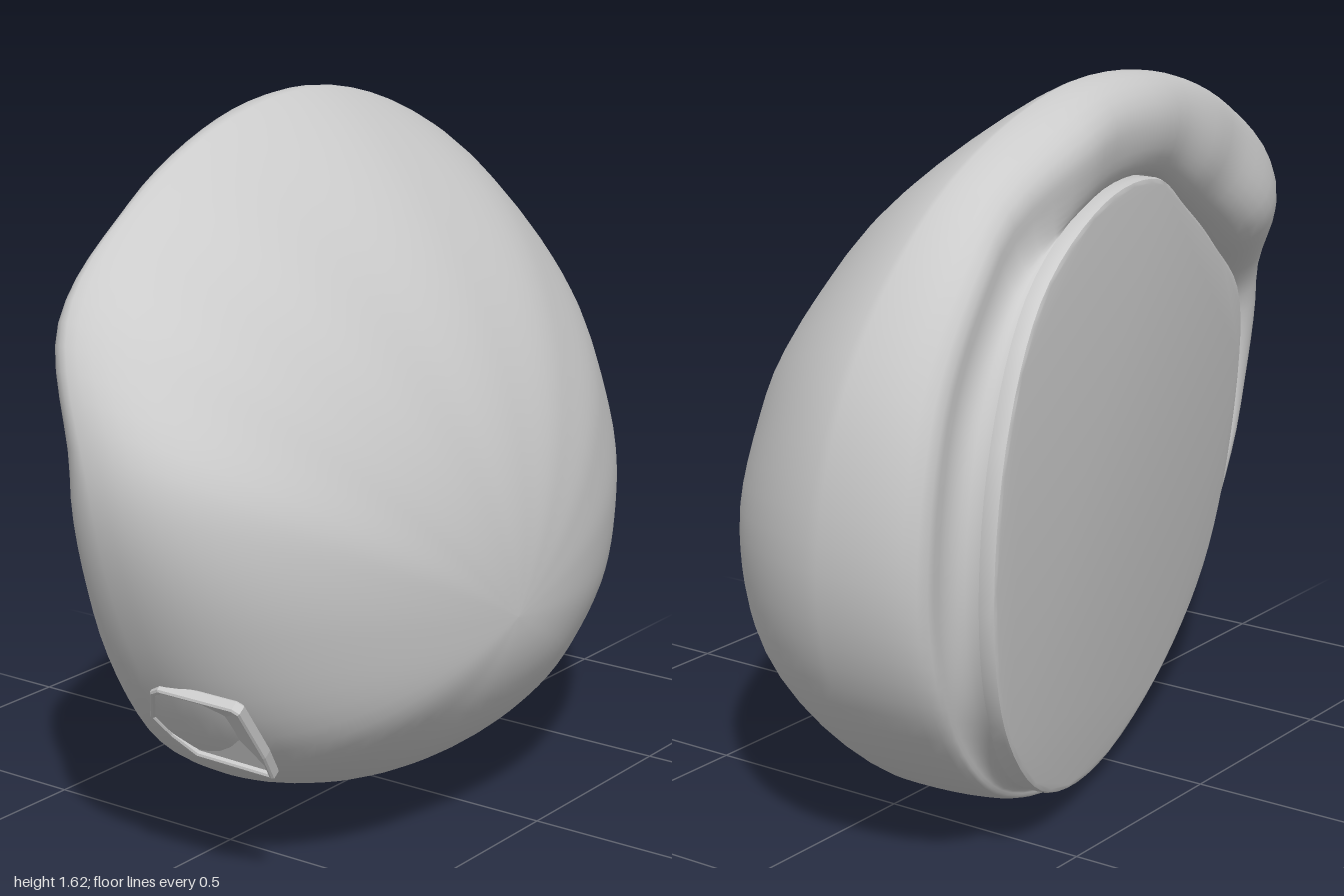
import * as THREE from 'three';
import { toCreasedNormals } from 'three/addons/utils/BufferGeometryUtils.js';

// Stations round the shell: rim z, y, x, dome fullness, lip offset, pad z, pad y
const STATIONS = [
  [1.0, 0.97, 0.04, 0.46, -0.01, 0.83, 0.92],
  [0.9, 1.26, -0.09, 0.58, -0.1, 0.58, 1.12],
  [0.6, 1.46, -0.16, 0.72, -0.06, 0.34, 1.26],
  [0.22, 1.59, -0.2, 0.84, -0.03, 0.14, 1.36],
  [-0.2, 1.605, -0.23, 0.84, 0.01, -0.23, 1.375],
  [-0.66, 1.43, -0.25, 0.74, 0.09, -0.6, 1.24],
  [-0.93, 1.1, -0.23, 0.65, 0.11, -0.77, 0.98],
  [-1.0, 0.72, -0.2, 0.58, 0.11, -0.81, 0.64],
  [-0.9, 0.4, -0.17, 0.56, 0.1, -0.73, 0.36],
  [-0.62, 0.13, -0.12, 0.62, 0.09, -0.5, 0.13],
  [-0.2, 0.0, -0.09, 0.66, 0.06, -0.14, 0.045],
  [0.37, 0.1, -0.02, 0.55, 0.03, 0.35, 0.135],
  [0.72, 0.31, 0.05, 0.4, 0.02, 0.66, 0.32],
  [0.93, 0.65, 0.06, 0.42, 0.0, 0.82, 0.62],
];
const AROUND = 84;
const APEX = { x: 0.52, y: 0.53, z: 0.12 };

// Slanted plane that carries the flat pad
const planeX = (y, z) => -0.27 + 0.27 * z - 0.035 * y;
const lerp = THREE.MathUtils.lerp;

// Smooth closed curve through three columns of the station table
function ringOf(a, b, c) {
  const curve = new THREE.CatmullRomCurve3(
    STATIONS.map((s) => new THREE.Vector3(s[a], s[b], s[c])), true, 'centripetal');
  return Array.from({ length: AROUND }, (_, i) => curve.getPoint(i / AROUND));
}

// Smooth interpolation of one column, wrapped round the ring
function valueAt(col, i) {
  const t = (i / AROUND) * STATIONS.length;
  const k = Math.floor(t), n = STATIONS.length;
  return lerp(STATIONS[k % n][col], STATIONS[(k + 1) % n][col], THREE.MathUtils.smoothstep(t - k, 0, 1));
}

// Domed shell that rolls over a lip into a groove round the pad
function shellGeometry(rim, pad) {
  const pos = [], idx = [];
  const domeSteps = 22, lipSteps = 14, rows = domeSteps + lipSteps;
  for (let i = 0; i <= rows; i++) {
    for (let j = 0; j < AROUND; j++) {
      const r = rim[j], p = pad[j];
      if (i <= domeSteps) {
        const phi = (i / domeSteps) * Math.PI / 2;
        const s = Math.sin(phi);
        const h = Math.pow(Math.max(0, Math.cos(phi)), 2 * valueAt(3, j));
        pos.push(lerp(r.z, APEX.x, h), lerp(APEX.y, r.y, s), lerp(APEX.z, r.x, s));
      } else {
        const a = ((i - domeSteps) / lipSteps) * Math.PI;
        const w = 0.485 * (1 - Math.cos(a));
        const z = lerp(r.x, p.x, w), y = lerp(r.y, p.y, w);
        const lipX = planeX(y, z) + valueAt(4, j);
        const from = a < Math.PI / 2 ? r.z : planeX(y, z) + 0.04;
        pos.push(lerp(from, lipX, Math.sin(a)), y, z);
      }
    }
  }
  for (let i = 0; i < rows; i++) {
    for (let j = 0; j < AROUND; j++) {
      const k = (j + 1) % AROUND;
      const a = i * AROUND + j, b = i * AROUND + k, c = a + AROUND, d = b + AROUND;
      if (i > 0) idx.push(a, b, c);
      idx.push(b, d, c);
    }
  }
  const g = new THREE.BufferGeometry();
  g.setAttribute('position', new THREE.Float32BufferAttribute(pos, 3));
  g.setIndex(idx);
  g.computeVertexNormals();
  return g;
}

// Flat pad: extruded outline sheared on to the slanted plane
function padGeometry(pad) {
  const shape = new THREE.Shape(pad.map((p) => new THREE.Vector2(p.x, p.y)));
  const g = new THREE.ExtrudeGeometry(shape, {
    depth: 0.04, bevelThickness: 0.012, bevelSize: 0.012, bevelOffset: -0.008, bevelSegments: 2,
  });
  const v = g.attributes.position;
  for (let i = 0; i < v.count; i++) {
    const z = v.getX(i), y = v.getY(i), d = v.getZ(i);
    v.setXYZ(i, planeX(y, z) + 0.052 - d, y, z);
  }
  return toCreasedNormals(g, 0.6);
}

export function createModel() {
  const model = new THREE.Group();
  const grey = new THREE.MeshStandardMaterial({ color: 0xcccccc, side: THREE.DoubleSide });
  const faceted = new THREE.MeshStandardMaterial({ color: 0xcccccc, side: THREE.DoubleSide, flatShading: true });
  const add = (parent, name, geometry, material = grey) => {
    const mesh = new THREE.Mesh(geometry, material);
    mesh.name = name;
    parent.add(mesh);
  };

  const rim = ringOf(0, 1, 2);
  const pad = ringOf(5, 6, 2);
  add(model, 'shell', shellGeometry(rim, pad));
  add(model, 'flatPad', padGeometry(pad));

  // Small pointed panel on the lower front: raised frame round a faceted dish
  const panel = new THREE.Group();
  panel.name = 'frontPanel';
  const outline = [[0.015, 0.4], [0.035, 0.35], [0.08, 0.3], [0.29, 0.295], [0.305, 0.36],
    [0.315, 0.49], [0.3, 0.5], [0.1, 0.5], [0.07, 0.485]]
    .map(([x, y]) => new THREE.Vector2(x, (y - 0.4) / 0.8));
  const centre = new THREE.Vector2(0.18, 0);
  const inner = outline.map((p) => p.clone().lerp(centre, 0.09));
  const frame = new THREE.Shape(outline);
  frame.holes.push(new THREE.Path(inner));
  add(panel, 'panelFrame', new THREE.ExtrudeGeometry(frame, {
    depth: 0.02, bevelThickness: 0.004, bevelSize: 0.004, bevelOffset: -0.004, bevelSegments: 1,
  }), faceted);

  // Dish floor: each side of the outline slopes in to a lower point
  const dish = [];
  inner.forEach((p, i) => {
    const q = inner[(i + 1) % inner.length];
    dish.push(p.x, p.y, 0.012, q.x, q.y, 0.012, centre.x, centre.y, -0.015);
  });
  const dishGeometry = new THREE.BufferGeometry();
  dishGeometry.setAttribute('position', new THREE.Float32BufferAttribute(dish, 3));
  dishGeometry.computeVertexNormals();
  add(panel, 'panelDish', dishGeometry, faceted);
  panel.position.set(0, 0.4, 0.77);
  panel.rotation.x = Math.atan2(0.6, 0.8);
  model.add(panel);

  return model;
}
